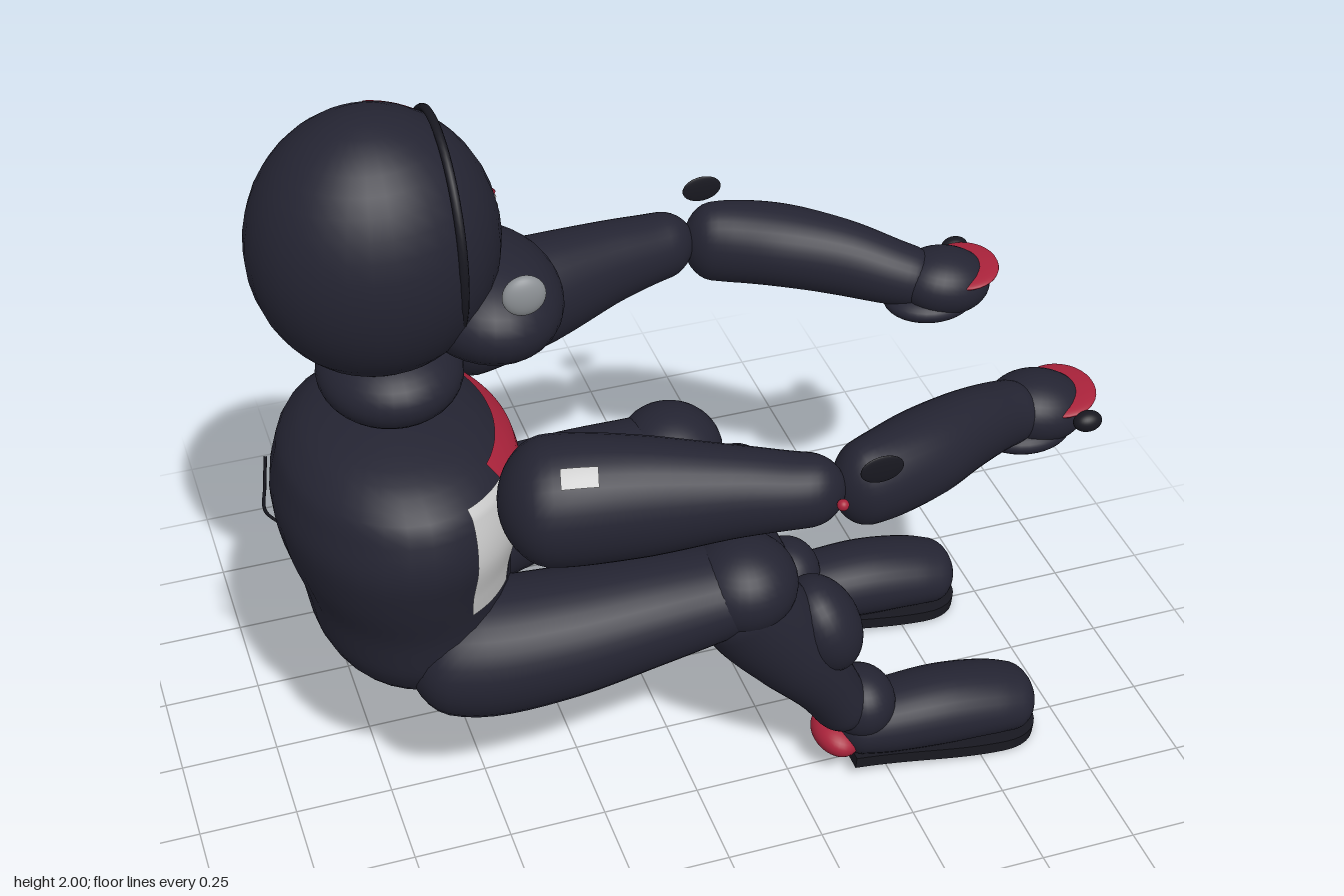
import * as THREE from 'three';

const mat = (name, color, side = THREE.FrontSide) => {
  const m = new THREE.MeshStandardMaterial({ color, side });
  m.name = name;
  return m;
};
const TAU = Math.PI * 2;

// Loft of elliptical rings [x, y, z, radiusA, radiusLateral] with rounded ends.
// A partial angle or t range gives a thin patch lying on the same surface.
function loft(rings, { from = 0, to = TAU, t0 = 0, t1 = 1, out = 0, cap = 0.12, axis = null } = {}) {
  const path = new THREE.CatmullRomCurve3(rings.map(r => new THREE.Vector3(r[0], r[1], r[2])));
  const size = new THREE.CatmullRomCurve3(rings.map(r => new THREE.Vector3(r[3], r[4], 0)));
  const full = to - from > TAU - 0.001, rows = 36, n = 32, cols = full ? n : n + 1;
  const pos = [], idx = [];
  for (let i = 0; i <= rows; i++) {
    const t = t0 + (t1 - t0) * (1 - Math.cos(Math.PI * i / rows)) / 2;
    const c = path.getPoint(t), r = size.getPoint(t);
    const T = axis ? axis.clone() : path.getTangent(t);
    const b = new THREE.Vector3(0, 0, 1).addScaledVector(T, -T.z).normalize();
    const a = b.clone().cross(T);
    const d = Math.min(1, Math.min(t, 1 - t) / cap);
    const k = Math.sqrt(Math.max(0, 1 - (1 - d) ** 2));
    for (let j = 0; j < cols; j++) {
      const q = from + (to - from) * j / n;
      const p = c.clone().addScaledVector(a, Math.cos(q) * (r.x * k + out))
        .addScaledVector(b, Math.sin(q) * (r.y * k + out));
      pos.push(p.x, p.y, p.z);
    }
  }
  for (let i = 0; i < rows; i++) for (let j = 0; j < n; j++) {
    const j2 = (j + 1) % cols, A = i * cols + j, B = i * cols + j2;
    idx.push(A, B, A + cols, B, B + cols, A + cols);
  }
  const g = new THREE.BufferGeometry();
  g.setAttribute('position', new THREE.Float32BufferAttribute(pos, 3));
  g.setIndex(idx);
  g.computeVertexNormals();
  return g;
}

export function createModel() {
  const suit = mat('suit navy', 0x242432);
  const black = mat('trim black', 0x181820);
  const red = mat('accent red', 0xa8223a, THREE.DoubleSide);
  const white = mat('accent white', 0xc8c8c8, THREE.DoubleSide);
  const metal = mat('bolt grey', 0x8c9094);

  const root = new THREE.Group();
  root.name = 'seatedDriver';
  const group = (name) => {
    const g = new THREE.Group();
    g.name = name;
    root.add(g);
    return g;
  };
  const add = (parent, name, geo, m) => {
    const mesh = new THREE.Mesh(geo, m);
    mesh.name = name;
    parent.add(mesh);
    return mesh;
  };
  const ball = (parent, name, m, x, y, z, rx, ry, rz, tilt = 0) => {
    const b = add(parent, name, new THREE.SphereGeometry(1, 32, 20), m);
    b.position.set(x, y, z);
    b.scale.set(rx, ry, rz);
    b.rotation.z = tilt;
    return b;
  };
  const cord = (parent, name, m, pts, r) => add(parent, name, new THREE.TubeGeometry(
    new THREE.CatmullRomCurve3(pts.map(p => new THREE.Vector3(...p))), 24, r, 8), m);

  // Torso: [y, back x, front x, half width]
  const body = group('body');
  const torso = [
    [0.515, -0.84, -0.45, 0.24], [0.64, -0.9, -0.42, 0.31], [0.76, -0.92, -0.42, 0.33], [0.88, -0.955, -0.41, 0.365],
    [1.0, -0.97, -0.385, 0.39], [1.12, -0.945, -0.4, 0.36], [1.235, -0.84, -0.54, 0.2],
  ].map(([y, b, f, w]) => [(b + f) / 2, y, 0, (f - b) / 2, w]);
  const up = { axis: new THREE.Vector3(0, 1, 0), cap: 0.08 };
  add(body, 'torso', loft(torso, up), suit);
  const panel = (name, m, from, to, t0, t1) =>
    add(body, name, loft(torso, { ...up, from, to, t0, t1, out: 0.005 }), m);
  panel('chestStripe', red, Math.PI - 0.75, Math.PI + 0.75, 0.8, 0.9);
  panel('chestPinstripe', red, Math.PI - 0.65, Math.PI + 0.65, 0.752, 0.785);
  panel('sidePanel', white, 1.93, 2.43, 0.43, 0.86);
  panel('sidePanel', white, TAU - 2.43, TAU - 1.93, 0.43, 0.86);
  cord(body, 'backCable', black, [[-0.955, 0.94, 0], [-0.99, 0.99, 0], [-0.985, 1.06, 0], [-0.975, 1.15, 0]], 0.004);

  // Head: neck, helmet, chin guard and trim
  const head = group('head');
  ball(head, 'neck', suit, -0.67, 1.33, 0, 0.17, 0.105, 0.19);
  ball(head, 'helmet', suit, -0.685, 1.68, 0, 0.287, 0.32, 0.262);
  ball(head, 'chinGuard', suit, -0.44, 1.49, 0, 0.18, 0.128, 0.232, -0.1);
  const rim = add(head, 'visorRim', new THREE.TorusGeometry(1, 0.035, 8, 64).rotateY(Math.PI / 2), black);
  rim.position.set(-0.535, 1.7, 0);
  rim.scale.set(0.3, 0.265, 0.226);
  // Helmet bands lie on the ellipsoid, measured from the front pole
  const band = (name, m, p0, p1, a0, a1) => {
    const b = add(head, name, new THREE.SphereGeometry(1, 32, 8, p0, p1 - p0, a0, a1 - a0).rotateZ(-Math.PI / 2), m);
    b.position.set(-0.685, 1.68, 0);
    b.scale.set(0.291, 0.324, 0.266);
  };
  band('helmetBand', red, -2.3, -0.55, 0.95, 1.47);
  band('helmetPinstripe', red, -2.3, -0.55, 0.82, 0.87);
  const wrap = (y0, y1) => [0, 1, 2, 3].map(i =>
    [[-0.39, -0.07], [-0.44, -0.17], [-0.53, -0.235], [-0.67, -0.275]].map(p => [p[0], p[1]])[i])
    .map(([x, z], i) => [x, y0 + (y1 - y0) * i / 3, z]);
  cord(head, 'upperStripe', white, wrap(1.69, 1.725), 0.01);
  cord(head, 'upperStripeEdge', red, wrap(1.705, 1.742), 0.008);
  cord(head, 'lowerStripe', white, wrap(1.668, 1.625), 0.014);

  for (const s of [1, -1]) {
    ball(head, 'visorBolt', metal, -0.41, 1.635, s * 0.248, 0.05, 0.05, 0.024);

    // Arm: reaching forward, elbow bent outward
    const arm = group('arm');
    const side = rings => rings.map(([x, y, z, a, b]) => [x, y, z * s, a, b]);
    const upper = side([
      [-0.52, 1.16, 0.355, 0.14, 0.14], [-0.38, 1.165, 0.39, 0.155, 0.148], [-0.2, 1.165, 0.435, 0.145, 0.128],
      [0, 1.17, 0.49, 0.11, 0.1], [0.14, 1.165, 0.525, 0.09, 0.085], [0.245, 1.16, 0.545, 0.085, 0.07],
    ]);
    add(arm, 'upperArm', loft(upper, { cap: 0.16 }), suit);
    const q = s * 0.62;
    add(arm, 'shoulderPatch', loft(upper, { cap: 0.16, from: q - 0.16, to: q + 0.16, t0: 0.2, t1: 0.29, out: 0.004 }), white);
    add(arm, 'forearm', loft(side([
      [0.225, 1.15, 0.545, 0.1, 0.07], [0.34, 1.15, 0.515, 0.11, 0.095], [0.46, 1.145, 0.465, 0.108, 0.105],
      [0.6, 1.125, 0.39, 0.1, 0.092], [0.72, 1.095, 0.325, 0.085, 0.082], [0.82, 1.07, 0.285, 0.07, 0.075],
    ])), suit);
    ball(arm, 'elbowPad', black, 0.3, 1.255, s * 0.618, 0.052, 0.036, 0.006);
    ball(arm, 'elbowDot', red, 0.215, 1.165, s * 0.606, 0.014, 0.014, 0.014);
    ball(arm, 'hand', suit, 0.845, 1.07, s * 0.285, 0.125, 0.085, 0.105, -0.15);
    ball(arm, 'palm', suit, 0.81, 1.02, s * 0.29, 0.12, 0.042, 0.1);
    ball(arm, 'fingertips', red, 0.9, 1.1, s * 0.285, 0.088, 0.017, 0.105, 0.15);
    ball(arm, 'thumb', black, 0.925, 1.085, s * 0.4, 0.036, 0.026, 0.026);

    // Leg: bent at the knee, shoe pointing forward
    const leg = group('leg');
    add(leg, 'thigh', loft(side([
      [-0.72, 0.63, 0.17, 0.13, 0.15], [-0.54, 0.625, 0.22, 0.168, 0.17], [-0.35, 0.643, 0.25, 0.158, 0.162],
      [-0.15, 0.668, 0.265, 0.135, 0.145], [0.02, 0.685, 0.27, 0.115, 0.132], [0.14, 0.7, 0.275, 0.1, 0.125],
    ])), suit);
    ball(leg, 'knee', suit, 0.1, 0.705, s * 0.278, 0.138, 0.12, 0.14);
    add(leg, 'shin', loft(side([
      [0.05, 0.72, 0.28, 0.12, 0.125], [0.14, 0.59, 0.28, 0.13, 0.125], [0.24, 0.45, 0.28, 0.115, 0.118],
      [0.33, 0.31, 0.277, 0.085, 0.1], [0.41, 0.16, 0.27, 0.07, 0.085],
    ])), suit);
    ball(leg, 'shinGuard', suit, 0.315, 0.515, s * 0.28, 0.14, 0.095, 0.118, -1.2);
    ball(leg, 'ankle', suit, 0.435, 0.21, s * 0.27, 0.09, 0.095, 0.1);
    ball(leg, 'heel', red, 0.37, 0.115, s * 0.27, 0.062, 0.045, 0.085, -0.3);
    add(leg, 'shoe', loft(side([
      [0.36, 0.145, 0.27, 0.075, 0.085], [0.5, 0.135, 0.27, 0.092, 0.103], [0.66, 0.13, 0.27, 0.1, 0.112],
      [0.8, 0.115, 0.27, 0.09, 0.11], [0.92, 0.085, 0.27, 0.075, 0.09],
    ])), suit);
    // Sole: flat footprint, tipped down toward the toe
    const print = new THREE.Shape();
    print.moveTo(-0.27, -0.075);
    print.bezierCurveTo(-0.1, -0.08, 0.0, -0.11, 0.14, -0.105);
    print.bezierCurveTo(0.3, -0.1, 0.3, 0.1, 0.14, 0.105);
    print.bezierCurveTo(0.0, 0.11, -0.1, 0.08, -0.27, 0.075);
    print.closePath();
    const sole = add(leg, 'sole', new THREE.ExtrudeGeometry(print, { depth: 0.032, bevelEnabled: false, curveSegments: 16 })
      .rotateX(-Math.PI / 2), black);
    sole.position.set(0.67, 0.022, s * 0.27);
    sole.rotation.z = -0.085;
  }
  return root;
}
